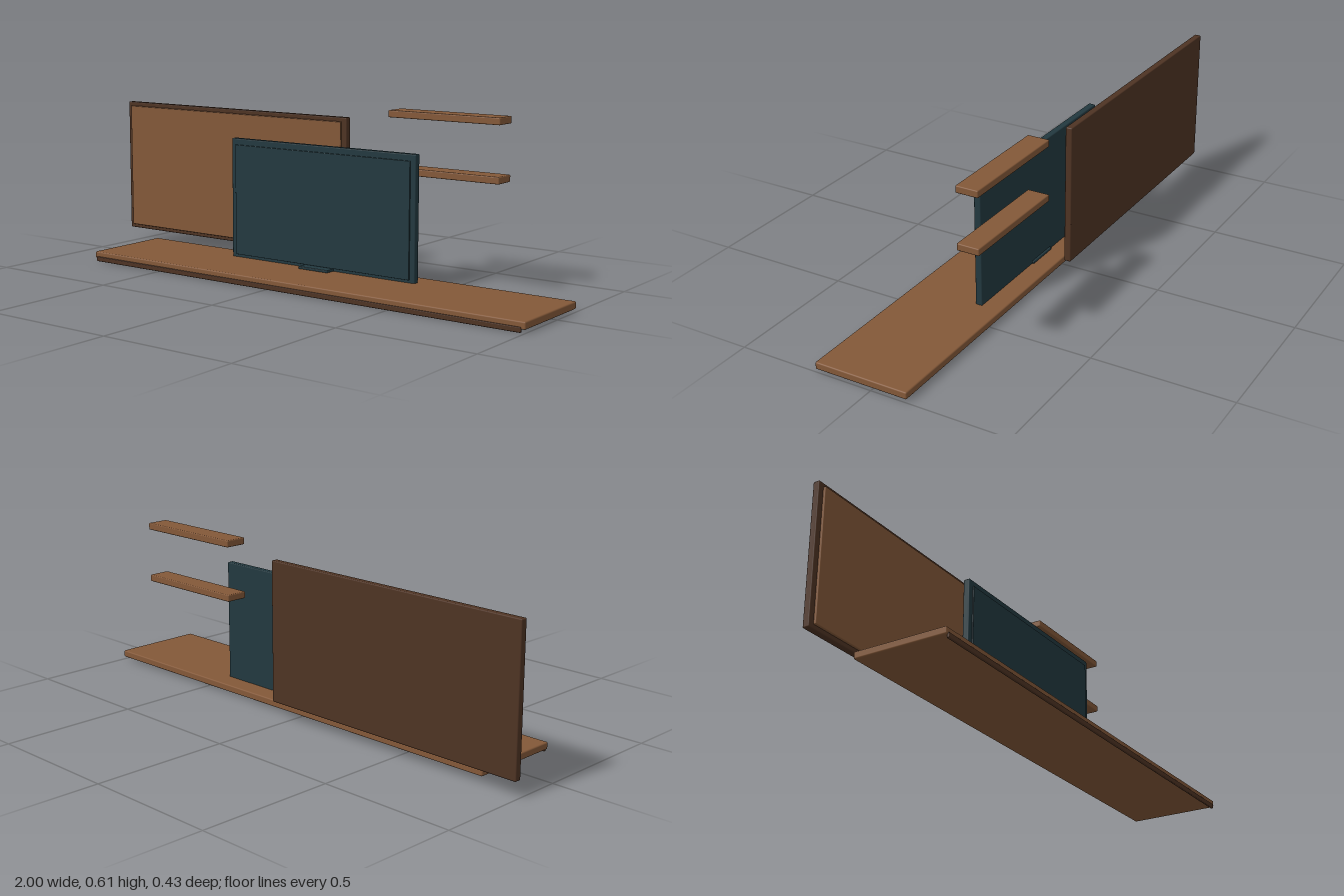
import * as THREE from 'three';
import { RoundedBoxGeometry } from 'three/addons/geometries/RoundedBoxGeometry.js';

function material(name, color) {
  const m = new THREE.MeshStandardMaterial({ color });
  m.name = name;
  return m;
}

export function createModel() {
  const wood = material('walnut', 0x835838);
  const darkWood = material('darkWalnut', 0x4e3323);
  const slate = material('darkSlate', 0x22383f);
  const group = new THREE.Group();
  group.name = 'deskSet';

  // Softly rounded slab given by its limits on each axis
  function slab(name, mat, [x0, x1], [y0, y1], [z0, z1], radius) {
    const geometry = new RoundedBoxGeometry(x1 - x0, y1 - y0, z1 - z0, 3, radius);
    const mesh = new THREE.Mesh(geometry, mat);
    mesh.name = name;
    mesh.position.set((x0 + x1) / 2, (y0 + y1) / 2, (z0 + z1) / 2);
    group.add(mesh);
  }

  // Desk top with a dark strip below its front edge
  slab('deskTop', wood, [-0.826, 1], [0.01, 0.036], [-0.133, 0.212], 0.005);
  slab('frontStrip', darkWood, [-0.816, 0.986], [0, 0.018], [0.206, 0.216], 0.003);

  // Wall board: dark backing and lighter inset panel
  slab('boardBacking', darkWood, [-1, 0.068], [0.058, 0.568], [-0.191, -0.166], 0.004);
  slab('boardPanel', wood, [-0.98, 0.048], [0.073, 0.553], [-0.167, -0.156], 0.003);

  // Monitor with raised screen and foot
  slab('monitorBody', slate, [-0.355, 0.445], [0.024, 0.478], [-0.06, -0.035], 0.004);
  slab('monitorScreen', slate, [-0.335, 0.425], [0.046, 0.455], [-0.036, -0.03], 0.001);
  slab('monitorFoot', slate, [-0.02, 0.107], [0.035, 0.045], [-0.067, 0.003], 0.003);

  // Two floating shelves
  [0.4, 0.597].forEach((y, i) =>
    slab(`shelf${i + 1}`, wood, [0.266, 0.706], [y - 0.0125, y + 0.0125], [-0.216, -0.135], 0.004));

  return group;
}
